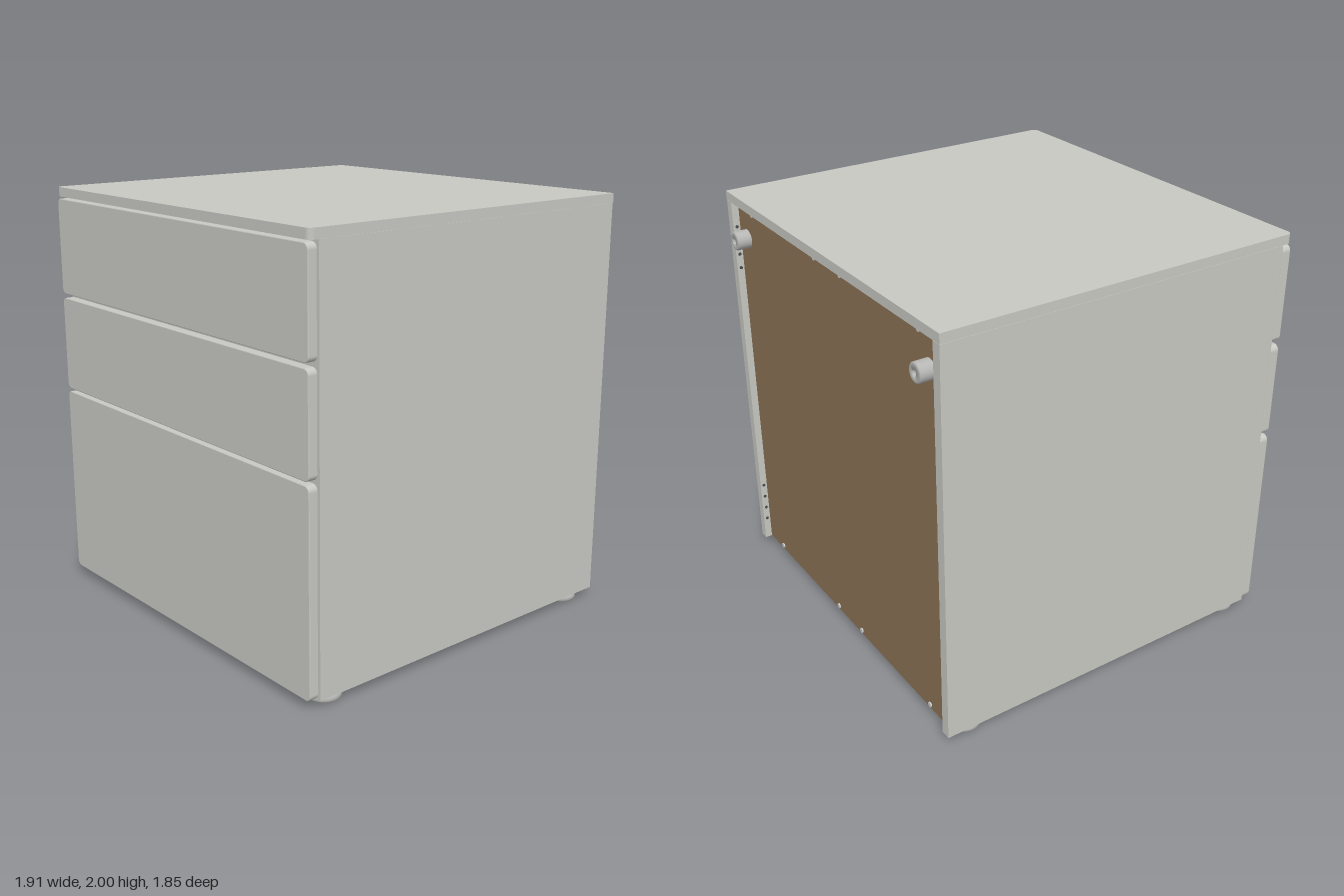
import * as THREE from 'three';

const mat = (name, color, side = THREE.FrontSide) => {
  const m = new THREE.MeshStandardMaterial({ color, side });
  m.name = name;
  return m;
};

// Rectangle with separate radii for the lower and upper corners
function roundedRect(x0, y0, x1, y1, rLow, rHigh) {
  const s = new THREE.Shape();
  s.moveTo(x0 + rLow, y0);
  s.lineTo(x1 - rLow, y0);
  if (rLow) s.absarc(x1 - rLow, y0 + rLow, rLow, -Math.PI / 2, 0);
  s.lineTo(x1, y1 - rHigh);
  if (rHigh) s.absarc(x1 - rHigh, y1 - rHigh, rHigh, 0, Math.PI / 2);
  s.lineTo(x0 + rHigh, y1);
  if (rHigh) s.absarc(x0 + rHigh, y1 - rHigh, rHigh, Math.PI / 2, Math.PI);
  s.lineTo(x0, y0 + rLow);
  if (rLow) s.absarc(x0 + rLow, y0 + rLow, rLow, Math.PI, Math.PI * 1.5);
  return s;
}

export function createModel() {
  const grey = mat('cabinetGrey', 0xc8c8c3);
  const brown = mat('backBoardBrown', 0x8b7355);
  const plastic = mat('plasticGrey', 0xb6b6b4, THREE.DoubleSide);
  const metal = mat('screwMetal', 0xcfcfcf);
  const dark = mat('holeDark', 0x4a4a4a);

  const model = new THREE.Group();
  model.name = 'drawerCabinet';

  const add = (name, geo, material, x = 0, y = 0, z = 0, parent = model) => {
    const m = new THREE.Mesh(geo, material);
    m.name = name;
    m.position.set(x, y, z);
    parent.add(m);
    return m;
  };
  // Box given by its limits on each axis
  const box = (name, material, x0, x1, y0, y1, z0, z1, parent = model) =>
    add(name, new THREE.BoxGeometry(x1 - x0, y1 - y0, z1 - z0), material,
      (x0 + x1) / 2, (y0 + y1) / 2, (z0 + z1) / 2, parent);

  // Carcass
  const topGeo = new THREE.ExtrudeGeometry(
    roundedRect(-0.955, -0.92, 0.955, 0.89, 0.025, 0),
    { depth: 0.045, bevelEnabled: false, curveSegments: 8 });
  topGeo.rotateX(-Math.PI / 2);
  add('topPanel', topGeo, grey, 0, 1.955, 0);
  box('leftSidePanel', grey, 0.907, 0.952, 0.04, 1.954, -0.89, 0.87);
  box('rightSidePanel', grey, -0.955, -0.907, 0.04, 1.954, -0.89, 0.87);
  box('bottomPanel', grey, -0.907, 0.907, 0.042, 0.085, -0.845, 0.865);
  box('backBoard', brown, -0.907, 0.907, 0.044, 1.954, -0.855, -0.84);

  // Rails behind the gaps between the drawers
  for (const y of [0.992, 1.47]) {
    box('drawerRail', grey, -0.907, 0.907, y - 0.03, y + 0.03, 0.82, 0.866);
  }

  // Drawers: rounded front and open tray behind it
  [[0.045, 0.985], [1.0, 1.46], [1.48, 1.945]].forEach(([y0, y1], i) => {
    const drawer = new THREE.Group();
    drawer.name = 'drawer' + (i + 1);
    model.add(drawer);
    const front = new THREE.ExtrudeGeometry(
      roundedRect(-0.955, y0, 0.945, y1, 0.028, 0.028),
      { depth: 0.039, bevelEnabled: true, bevelThickness: 0.004, bevelSize: 0.004,
        bevelOffset: -0.004, bevelSegments: 2, curveSegments: 8 });
    add('drawerFront', front, grey, 0, 0, 0.877, drawer);
    const b = y0 + 0.07, t = y1 - 0.12;
    box('trayBottom', grey, -0.85, 0.85, b, b + 0.02, -0.75, 0.81, drawer);
    box('trayBack', grey, -0.85, 0.85, b, t, -0.77, -0.75, drawer);
    for (const s of [-1, 1]) {
      box('traySide', grey, s * 0.86 - 0.01, s * 0.86 + 0.01, b, t, -0.77, 0.81, drawer);
    }
  });

  // Feet: hollow rounded rim with hub and cross spokes underneath
  const rim = new THREE.LatheGeometry([
    [0.02, 0.03], [0.062, 0.03], [0.058, 0.006], [0.064, 0], [0.072, 0.004],
    [0.077, 0.012], [0.077, 0.024], [0.071, 0.033], [0.04, 0.042], [0, 0.042],
  ].map(([r, y]) => new THREE.Vector2(r, y)), 32);
  for (const x of [-0.868, 0.868]) for (const z of [-0.755, 0.78]) {
    const foot = new THREE.Group();
    foot.name = 'foot';
    foot.position.set(x, 0, z);
    model.add(foot);
    add('footRim', rim, plastic, 0, 0, 0, foot);
    add('footHub', new THREE.CylinderGeometry(0.022, 0.022, 0.03, 20), plastic, 0, 0.02, 0, foot);
    for (let k = 0; k < 2; k++) {
      add('footSpoke', new THREE.BoxGeometry(0.12, 0.02, 0.01), plastic, 0, 0.021, 0, foot)
        .rotation.y = Math.PI / 4 + k * Math.PI / 2;
    }
  }

  // Spacer pegs on the back
  const peg = new THREE.LatheGeometry([
    [0.045, 0], [0.045, 0.062], [0.043, 0.067], [0.038, 0.07],
    [0.015, 0.07], [0.015, 0.04], [0, 0.04],
  ].map(([r, y]) => new THREE.Vector2(r, y)), 28);
  peg.rotateX(-Math.PI / 2);
  for (const x of [-0.825, 0.825]) {
    add('spacerPeg', peg, plastic, x, 1.793, -0.855);
    const hole = new THREE.CylinderGeometry(0.0145, 0.0145, 0.006, 16).rotateX(Math.PI / 2);
    add('spacerPegHole', hole, dark, x, 1.793, -0.898);
  }

  // Screws along the top and bottom of the back board
  const screw = new THREE.CylinderGeometry(0.013, 0.013, 0.008, 14).rotateX(Math.PI / 2);
  for (const x of [-0.75, -0.117, 0.117, 0.75]) for (const y of [0.064, 1.932]) {
    add('backScrew', screw, metal, x, y, -0.857);
  }

  // Small holes on the inner faces of the side panels
  const dot = new THREE.CylinderGeometry(0.008, 0.008, 0.004, 10).rotateZ(Math.PI / 2);
  for (const x of [-0.906, 0.906]) for (const y of [0.16, 0.23, 0.3, 0.37, 1.62, 1.69, 1.76, 1.83]) {
    add('shelfHole', dot, dark, x, y, -0.872);
  }

  return model;
}
